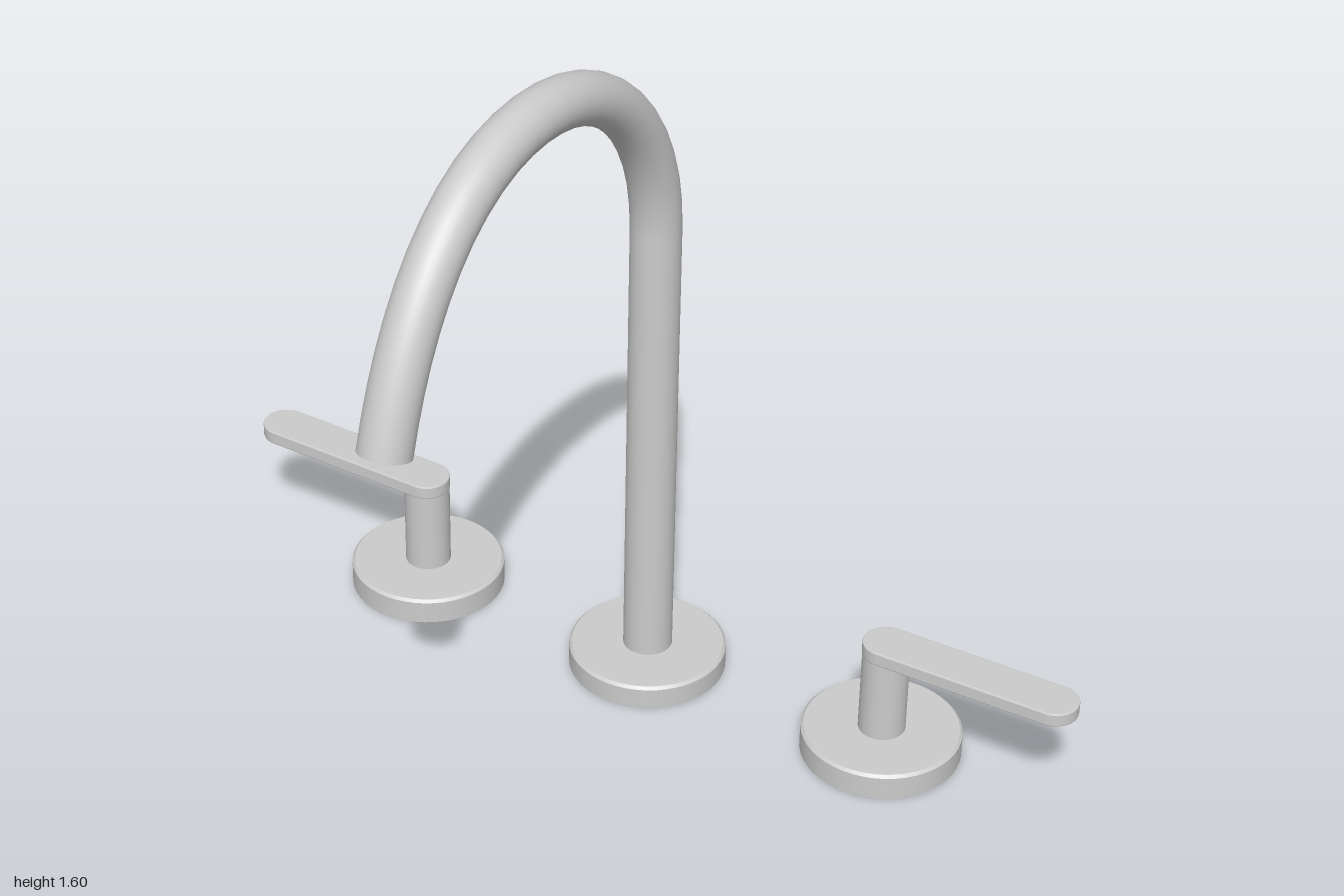
import * as THREE from 'three';

const material = new THREE.MeshStandardMaterial({ color: 0xcccccc, side: THREE.DoubleSide });
const BACK = -0.424; // z of the row of fittings

function add(parent, name, geometry, x = 0, y = 0, z = 0) {
  const mesh = new THREE.Mesh(geometry, material);
  mesh.name = name;
  mesh.position.set(x, y, z);
  parent.add(mesh);
  return mesh;
}

// Round disc with a small chamfer on its top edge; rings are doubled to keep edges sharp
function flange(height) {
  const r = 0.17, c = 0.006;
  const corners = [[0, 0], [r, 0], [r, height - c], [r - c, height], [0, height]];
  const points = corners.flatMap(([x, y], i) => {
    const p = new THREE.Vector2(x, y);
    return i === 0 || i === corners.length - 1 ? [p] : [p, p.clone()];
  });
  const pts = [];
  points.forEach((p, i) => {
    // tiny offset between doubled points separates the normals
    const prev = points[i - 1];
    if (prev && prev.equals(p)) {
      const next = points[i + 1];
      pts.push(p.clone().lerp(next, 0.002));
    } else pts.push(p);
  });
  return new THREE.LatheGeometry(pts, 48);
}

// Flat bar with round ends, rising slightly towards its tip
function leverBar() {
  const bevel = 0.003, r = 0.051 - bevel, length = 0.379;
  const shape = new THREE.Shape();
  shape.absarc(length, 0, r, -Math.PI / 2, Math.PI / 2, false);
  shape.absarc(0, 0, r, Math.PI / 2, Math.PI * 1.5, false);
  shape.closePath();
  const geometry = new THREE.ExtrudeGeometry(shape, {
    depth: 0.031 - 2 * bevel, bevelEnabled: true, bevelSize: bevel,
    bevelThickness: bevel, bevelSegments: 2, curveSegments: 16,
  });
  geometry.rotateX(-Math.PI / 2);
  geometry.translate(0, bevel, 0);
  const pos = geometry.attributes.position;
  for (let i = 0; i < pos.count; i++) pos.setY(i, pos.getY(i) + 0.014 * pos.getX(i));
  return geometry;
}

function createHandle(name, side) {
  const handle = new THREE.Group();
  handle.name = name;
  handle.position.set(side * 0.57, 0, BACK);
  if (side < 0) handle.rotation.y = Math.PI;
  add(handle, 'handleBase', flange(0.058));
  add(handle, 'handlePost', new THREE.CylinderGeometry(0.05, 0.05, 0.21, 32), 0, 0.16, 0);
  add(handle, 'lever', leverBar(), 0, 0.248, 0);
  return handle;
}

function createSpout() {
  const spout = new THREE.Group();
  spout.name = 'spout';
  add(spout, 'spoutBase', flange(0.052), 0, 0, BACK);

  const radius = 0.053, bendY = 1.085, top = 1.552, peakZ = 0.05;
  const v = (y, z) => new THREE.Vector3(0, y, z);
  // Upright part of the pipe
  add(spout, 'spoutPipe', new THREE.CylinderGeometry(radius, radius, bendY - 0.03, 32, 1, true),
    0, (bendY + 0.03) / 2, BACK);

  // Gooseneck: a quarter circle to the peak, then a slightly opening curve down to the outlet
  const neck = new THREE.CurvePath();
  neck.add(new THREE.CubicBezierCurve3(v(bendY, BACK), v(bendY + 0.258, BACK),
    v(top, peakZ - 0.262), v(top, peakZ)));
  neck.add(new THREE.CubicBezierCurve3(v(top, peakZ), v(top, peakZ + 0.26),
    v(1.355, 0.468), v(1.095, 0.543)));
  add(spout, 'gooseneck', new THREE.TubeGeometry(neck, 24, radius, 32));

  // Flat face closing the outlet
  const outlet = add(spout, 'outlet', new THREE.CircleGeometry(radius, 32), 0, 1.095, 0.543);
  outlet.quaternion.setFromUnitVectors(new THREE.Vector3(0, 0, 1), neck.getTangent(1).normalize());
  return spout;
}

export function createModel() {
  const model = new THREE.Group();
  model.name = 'widespreadFaucet';
  model.add(createSpout(), createHandle('leftHandle', 1), createHandle('rightHandle', -1));
  return model;
}
